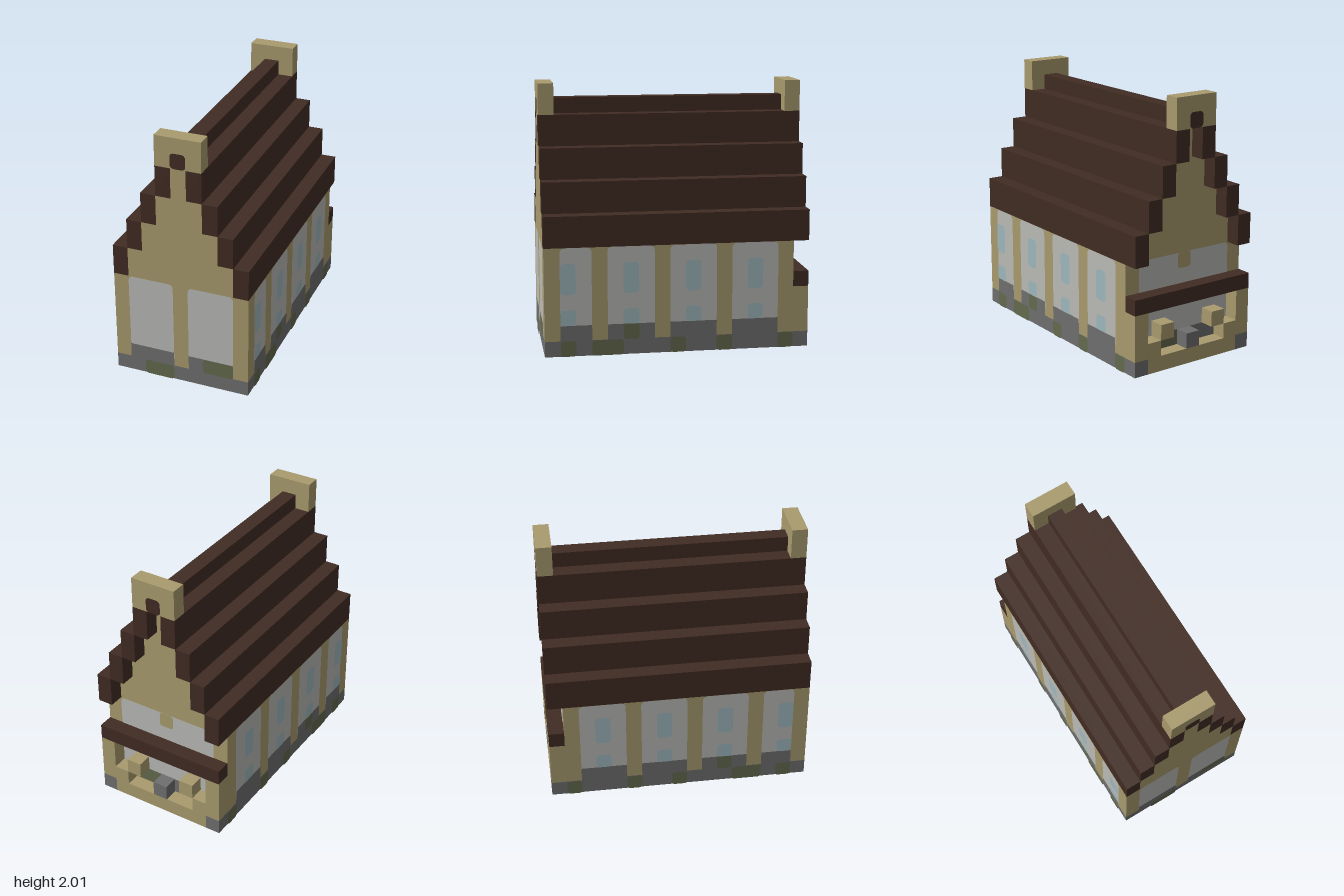
import * as THREE from 'three';

const material = (name, color) => {
  const m = new THREE.MeshStandardMaterial({ color });
  m.name = name;
  return m;
};

export function createModel() {
  const timber = material('tan timber', 0xa99b6e);
  const roofing = material('dark brown roof', 0x412c23);
  const stone = material('grey stone', 0x6f6f6f);
  const plaster = material('pale plaster', 0xbabbb7);
  const glass = material('pale blue glass', 0x9fb8be);
  const moss = material('mossy stone', 0x646a4e);

  // Everything is laid out in block units: 9 wide, 17 high, 17 deep.
  const model = new THREE.Group();
  model.name = 'house';
  model.scale.setScalar(2 / 17);

  // Box given by its extents
  const box = (name, mat, x0, x1, y0, y1, z0, z1) => {
    const mesh = new THREE.Mesh(new THREE.BoxGeometry(x1 - x0, y1 - y0, z1 - z0), mat);
    mesh.position.set((x0 + x1) / 2, (y0 + y1) / 2, (z0 + z1) / 2);
    mesh.name = name;
    model.add(mesh);
  };

  // A painted side of the house; its local z points outward
  const face = (name, x, y, z, rx, ry) => {
    const g = new THREE.Group();
    g.name = name;
    g.position.set(x, y, z);
    g.rotation.set(rx, ry, 0);
    model.add(g);
    return g;
  };

  // Thin painted patch with rounded corners
  const patch = (parent, name, mat, level, x0, x1, y0, y1, r = 0) => {
    const s = new THREE.Shape();
    if (r) {
      s.absarc(x1 - r, y1 - r, r, 0, Math.PI / 2);
      s.absarc(x0 + r, y1 - r, r, Math.PI / 2, Math.PI);
      s.absarc(x0 + r, y0 + r, r, Math.PI, Math.PI * 1.5);
      s.absarc(x1 - r, y0 + r, r, Math.PI * 1.5, Math.PI * 2);
    } else {
      s.moveTo(x0, y0).lineTo(x1, y0).lineTo(x1, y1).lineTo(x0, y1);
    }
    const mesh = new THREE.Mesh(new THREE.ShapeGeometry(s, 4), mat);
    mesh.position.z = level * 0.02;
    mesh.name = name;
    parent.add(mesh);
  };

  // Plaster bay with its raised stone footing
  const bay = (parent, a, b) => {
    patch(parent, 'plasterPanel', plaster, 1, a, b, 1.3, 7, 0.3);
    patch(parent, 'stoneFooting', stone, 2, a, b, 1, 2);
  };

  // Main body
  box('foundation', stone, -4.5, 4.5, 0, 1, -7.5, 8.5);
  box('timberWalls', timber, -4.5, 4.5, 1, 7, -7.5, 8.5);

  // Stepped gable and roof
  for (let i = 0; i < 4; i++) {
    const w = 3.5 - i, y = 7 + 2 * i;
    box('gableStep', timber, -w, w, y, y + 2, -7.5, 8.5);
    box('roofStepLeft', roofing, w, w + 1, y, y + 2, -8.5, 8.5);
    box('roofStepRight', roofing, -w - 1, -w, y, y + 2, -8.5, 8.5);
  }
  box('roofRidge', roofing, -0.5, 0.5, 15, 16, -7.5, 7.5);
  box('frontGableCap', timber, -1.5, 1.5, 15, 17, 7.5, 8.5);
  box('backGableCap', timber, -1.5, 1.5, 15, 17, -8.5, -7.5);

  // Front
  const front = face('frontFace', 0, 0, 8.5, 0, 0);
  bay(front, -3.5, -0.5);
  bay(front, 0.5, 3.5);
  patch(front, 'moss', moss, 3, -2.5, -0.5, 0, 1, 0.2);
  patch(front, 'moss', moss, 3, 1.5, 3.5, 1, 2, 0.2);
  patch(front, 'ridgeEnd', roofing, 1, -0.5, 0.5, 15, 16, 0.25);

  // Long sides; positions along z, mirrored left to right
  const bays = [[5.5, 7.5], [1.5, 4.5], [-2.5, 0.5], [-6.5, -3.5]];
  const windows = [6.5, 2.5, -1.5, -5.5];
  const mossPatches = [[6.5, 7.5, 0], [3.5, 5.5, 0], [2.5, 3.5, 1], [-0.5, 0.5, 0], [-3.5, -2.5, 0], [-7.5, -6.5, 0]];
  for (const side of [1, -1]) {
    const wall = face(side > 0 ? 'leftFace' : 'rightFace', side * 4.5, 0, 0, 0, side * Math.PI / 2);
    const span = (a, b) => (side > 0 ? [-b, -a] : [a, b]);
    for (const [a, b] of bays) bay(wall, ...span(a, b));
    for (const z of windows) {
      patch(wall, 'upperWindow', glass, 3, ...span(z, z + 1), 4, 6, 0.25);
      patch(wall, 'lowerWindow', glass, 3, ...span(z, z + 1), 2, 3, 0.2);
    }
    for (const [a, b, y] of mossPatches) patch(wall, 'moss', moss, 3, ...span(a, b), y, y + 1, 0.2);
  }

  // Recessed back wall
  const back = face('backFace', 0, 0, -7.5, 0, Math.PI);
  bay(back, -3.5, 3.5);
  patch(back, 'postStub', timber, 2, -0.5, 0.5, 6, 7, 0.2);
  patch(back, 'moss', moss, 3, -2.5, -0.5, 1, 2, 0.2);
  const backCap = face('backCapFace', 0, 0, -8.5, 0, Math.PI);
  patch(backCap, 'ridgeEnd', roofing, 1, -0.5, 0.5, 15, 16, 0.25);

  // Back stall: floor, posts, lintel and hanging blocks
  box('stallFloor', timber, -3.5, 3.5, 0, 1, -8.5, -7.5);
  box('stallLintel', roofing, -4.5, 4.5, 4, 5, -8.5, -7.5);
  box('stallStone', stone, -0.5, 0.5, 1, 2, -8.5, -7.5);
  for (const s of [1, -1]) {
    const part = (name, mat, a, b, y0, y1) =>
      box(name, mat, Math.min(s * a, s * b), Math.max(s * a, s * b), y0, y1, -8.5, -7.5);
    part('stallCornerStone', stone, 3.5, 4.5, 0, 1);
    part('stallPost', timber, 3.5, 4.5, 1, 4);
    part('stallLedge', timber, 2.5, 3.5, 1, 2);
    part('stallBlock', timber, 1.5, 2.5, 2, 3);
  }

  // Underside
  const under = face('underside', 0, 0, 0, Math.PI / 2, 0);
  patch(under, 'undersideRim', stone, 0.5, -4.5, 4.5, -8.5, 8.5);
  patch(under, 'undersideFloor', timber, 1.5, -3.5, 3.5, -7.5, 7.5, 0.3);
  patch(under, 'undersideStrip', stone, 2.5, -0.5, 0.5, -2.5, 2.5, 0.25);

  const root = new THREE.Group();
  root.name = 'steppedGableHouse';
  root.add(model);
  return root;
}
